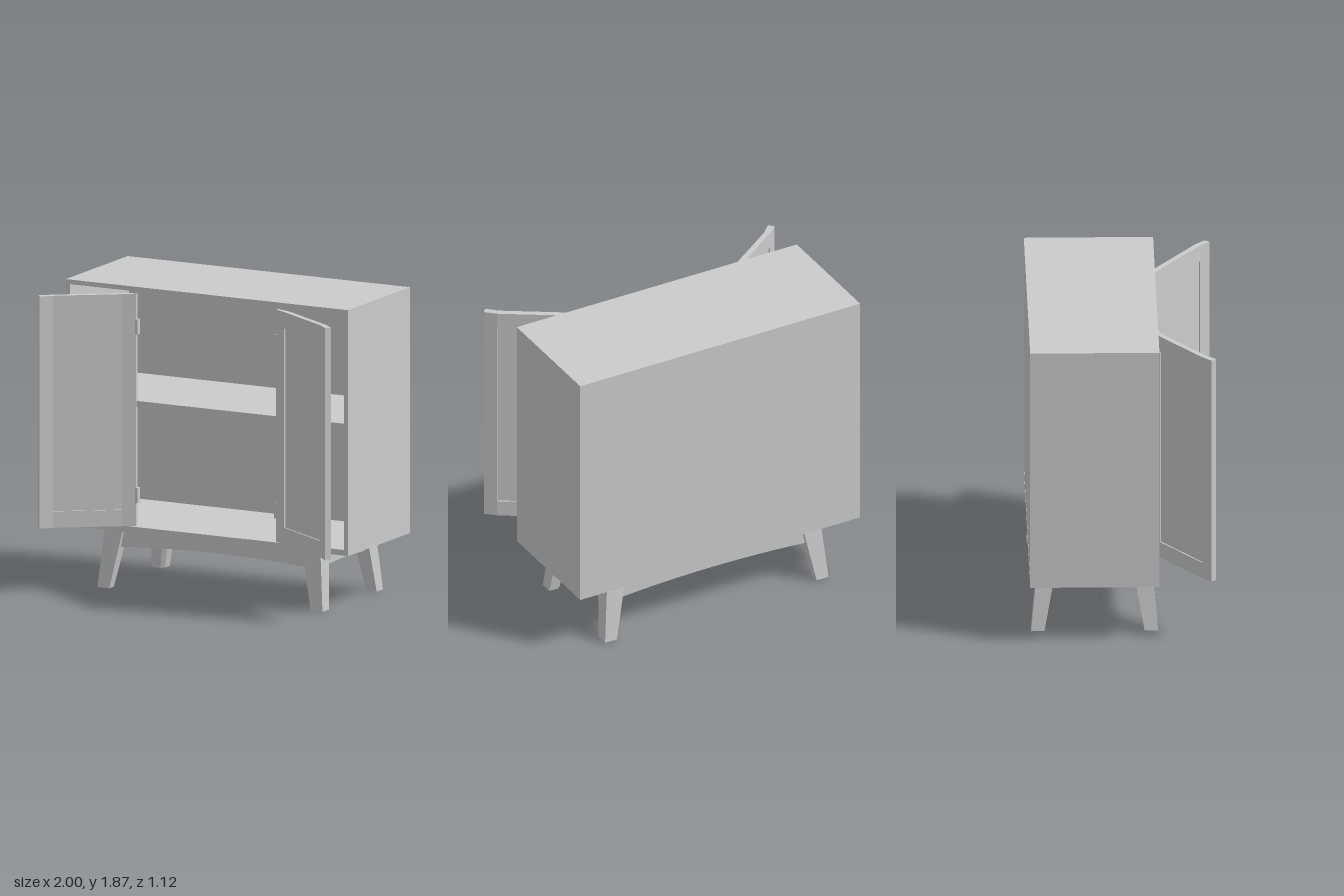
import * as THREE from 'three';
import { ConvexGeometry } from 'three/addons/geometries/ConvexGeometry.js';

const material = new THREE.MeshStandardMaterial({ color: 0xcccccc, flatShading: true });

function add(parent, name, geometry) {
  const mesh = new THREE.Mesh(geometry, material);
  mesh.name = name;
  parent.add(mesh);
  return mesh;
}

// Box given by its minimum and maximum corners
function block(parent, name, [x0, y0, z0], [x1, y1, z1]) {
  const mesh = add(parent, name, new THREE.BoxGeometry(x1 - x0, y1 - y0, z1 - z0));
  mesh.position.set((x0 + x1) / 2, (y0 + y1) / 2, (z0 + z1) / 2);
}

// Upright prism over a plan outline of [x, z] points
function prism(parent, name, plan, y0, y1) {
  const shape = new THREE.Shape(plan.map(([x, z]) => new THREE.Vector2(x, -z)));
  const geometry = new THREE.ExtrudeGeometry(shape, { depth: y1 - y0, bevelEnabled: false });
  add(parent, name, geometry.rotateX(-Math.PI / 2).translate(0, y0, 0));
}

const rect = (T, x0, y0, x1, y1) => new T([[x0, y0], [x1, y0], [x1, y1], [x0, y1]].map(p => new THREE.Vector2(...p)));

// Slightly bent framed door; inner and outer faces run from hinge edge to free edge
function door(parent, name, face, back, hingeX) {
  const group = new THREE.Group();
  group.name = name;
  parent.add(group);
  const span = (i, inset = 0) => {
    const mix = (p, q) => p.map((v, k) => v + (q[k] - v) * inset);
    return [mix(face[i], back[i]), mix(face[i + 1], back[i + 1]), mix(back[i + 1], face[i + 1]), mix(back[i], face[i])];
  };
  prism(group, 'hingeStile', span(0), 0.4, 1.82);
  prism(group, 'outerStile', span(2), 0.4, 1.82);
  prism(group, 'bottomRail', span(1), 0.4, 0.5);
  prism(group, 'topRail', span(1), 1.72, 1.82);
  prism(group, 'doorPanel', span(1, 0.25), 0.5, 1.72);
  for (const y of [0.59, 1.62]) {
    block(group, 'hinge', [hingeX - 0.008, y - 0.047, 0.19], [hingeX + 0.008, y + 0.047, 0.22]);
  }
}

// Arched rail under the cabinet, running along x
function apronGeometry(half, thickness, rise) {
  const shape = new THREE.Shape();
  shape.moveTo(-half, 0.365);
  shape.lineTo(-half, 0.25);
  shape.quadraticCurveTo(0, 0.25 + rise * 2, half, 0.25);
  shape.lineTo(half, 0.365);
  return new THREE.ExtrudeGeometry(shape, { depth: thickness, bevelEnabled: false, curveSegments: 12 })
    .translate(0, 0, -thickness / 2);
}

export function createModel() {
  const root = new THREE.Group();
  root.name = 'cabinet';

  // Open-fronted case
  const shell = rect(THREE.Shape, -0.98, 0.36, 0.945, 1.865);
  shell.holes.push(rect(THREE.Path, -0.953, 0.395, 0.918, 1.837));
  add(root, 'caseShell', new THREE.ExtrudeGeometry(shell, { depth: 0.775, bevelEnabled: false }).translate(0, 0, -0.56));
  block(root, 'backPanel', [-0.955, 0.39, -0.559], [0.92, 1.84, -0.53]);
  block(root, 'shelf', [-0.955, 1.13, -0.532], [0.92, 1.165, 0.205]);

  // Open doors
  door(root, 'rightDoor',
    [[-0.5, 0.215], [-0.575, 0.255], [-0.915, 0.495], [-0.973, 0.555]],
    [[-0.505, 0.19], [-0.595, 0.225], [-0.94, 0.47], [-1, 0.525]], -0.497);
  door(root, 'leftDoor',
    [[0.455, 0.215], [0.53, 0.255], [0.91, 0.495], [0.972, 0.555]],
    [[0.46, 0.19], [0.55, 0.225], [0.937, 0.47], [0.997, 0.525]], 0.452);

  // Splayed tapering legs with a chamfered inner corner, and the arched aprons
  const base = new THREE.Group();
  base.name = 'base';
  base.position.z = -0.17;
  root.add(base);
  const loop = (y, xo, xi, zo, zi, c) =>
    [[xo, zo], [xi, zo], [xi, zi + c], [xi + c, zi], [xo, zi]].map(([x, z]) => [x, y, z]);
  const corners = [...loop(0, 0.768, 0.687, 0.38, 0.3, 0.02), ...loop(0.365, 0.735, 0.612, 0.345, 0.235, 0.03)];
  for (const sx of [-1, 1]) {
    for (const sz of [-1, 1]) {
      add(base, 'leg', new ConvexGeometry(corners.map(([x, y, z]) => new THREE.Vector3(sx * x, y, sz * z))));
    }
    add(base, 'longApron', apronGeometry(0.645, 0.045, 0.025)).position.z = sx * 0.305;
    const side = add(base, 'sideApron', apronGeometry(0.27, 0.045, 0.01));
    side.rotation.y = Math.PI / 2;
    side.position.x = sx * 0.685;
  }
  return root;
}
